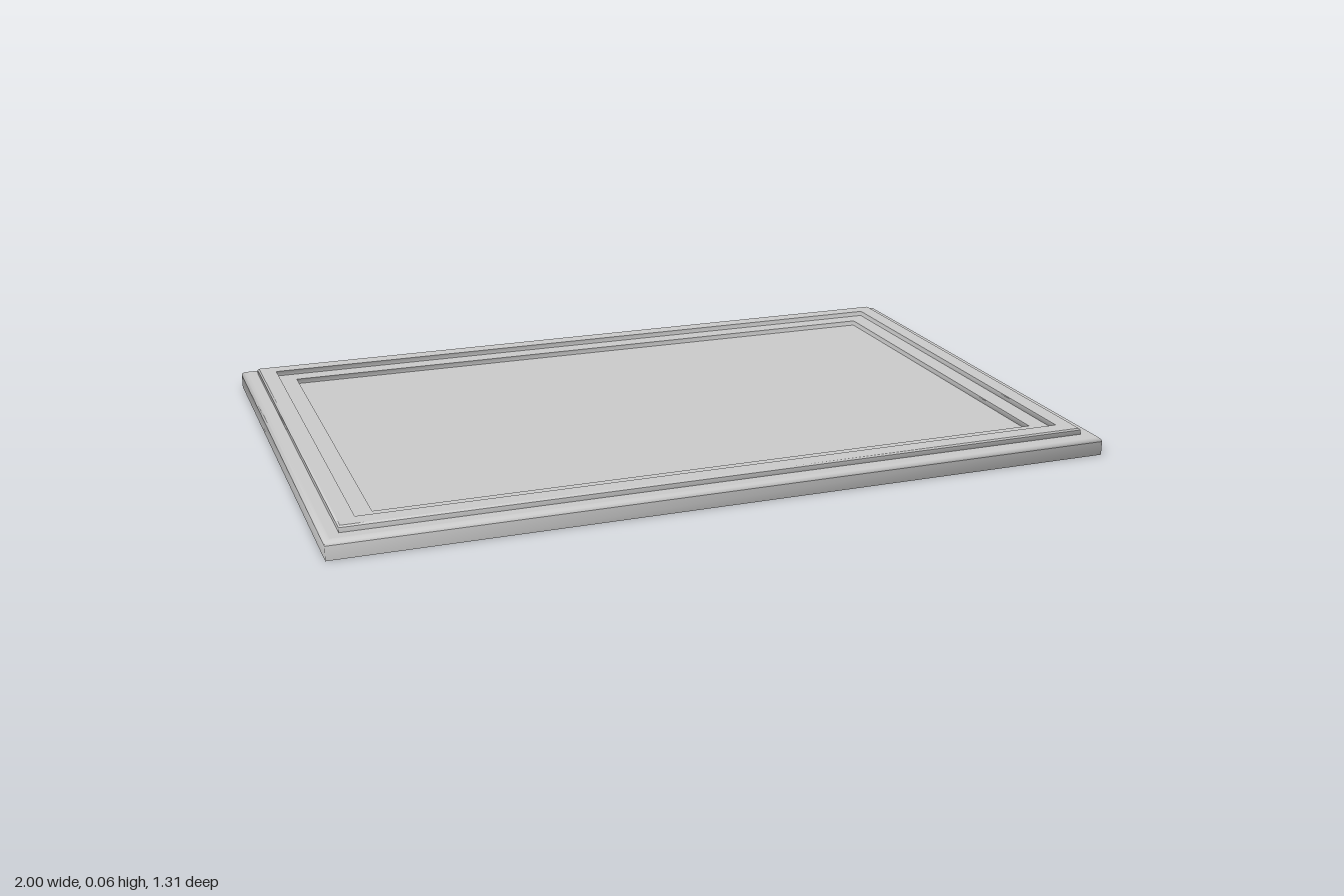
import * as THREE from 'three';

const HALF_X = 1, HALF_Z = 0.655;
const CORNERS = [[1, 1], [1, -1], [-1, -1], [-1, 1]];

// Rectangular ring swept around the tray; each profile point is [inset, height].
function ring(profile) {
  const pos = [], index = [];
  for (const [inset, y] of profile)
    for (const [sx, sz] of CORNERS) pos.push(sx * (HALF_X - inset), y, sz * (HALF_Z - inset));
  for (let j = 0; j < profile.length - 1; j++)
    for (let i = 0; i < 4; i++) {
      const a = j * 4 + i, b = j * 4 + (i + 1) % 4;
      index.push(a, b, b + 4, a, b + 4, a + 4);
    }
  const g = new THREE.BufferGeometry();
  g.setAttribute('position', new THREE.Float32BufferAttribute(pos, 3));
  g.setIndex(index);
  g.computeVertexNormals();
  return g;
}

export function createModel() {
  const model = new THREE.Group();
  model.name = 'steppedPanel';
  const material = new THREE.MeshStandardMaterial({ color: 0xcccccc, side: THREE.DoubleSide });
  const add = (name, geometry) => {
    const mesh = new THREE.Mesh(geometry, material);
    mesh.name = name;
    model.add(mesh);
    return mesh;
  };

  // Thin open-bottomed shell, from the outer wall inward
  const parts = {
    outerWall: [[0, 0], [0, 0.036]],
    roundedEdge: [[0, 0.036], [0.002, 0.042], [0.007, 0.046], [0.014, 0.047]],
    outerLedge: [[0.014, 0.047], [0.04, 0.047]],
    rimWall: [[0.04, 0.047], [0.04, 0.059]],
    rimBevel: [[0.04, 0.059], [0.044, 0.063]],
    rimTop: [[0.044, 0.063], [0.086, 0.063]],
    rimInnerWall: [[0.086, 0.063], [0.087, 0.05]],
    innerLedge: [[0.087, 0.05], [0.135, 0.05]],
    recessWall: [[0.135, 0.05], [0.136, 0.037]],
  };
  for (const [name, profile] of Object.entries(parts)) add(name, ring(profile));

  // Flat recessed centre
  const panel = new THREE.PlaneGeometry(2 * (HALF_X - 0.136), 2 * (HALF_Z - 0.136));
  panel.rotateX(-Math.PI / 2);
  add('centrePanel', panel).position.y = 0.037;

  return model;
}
